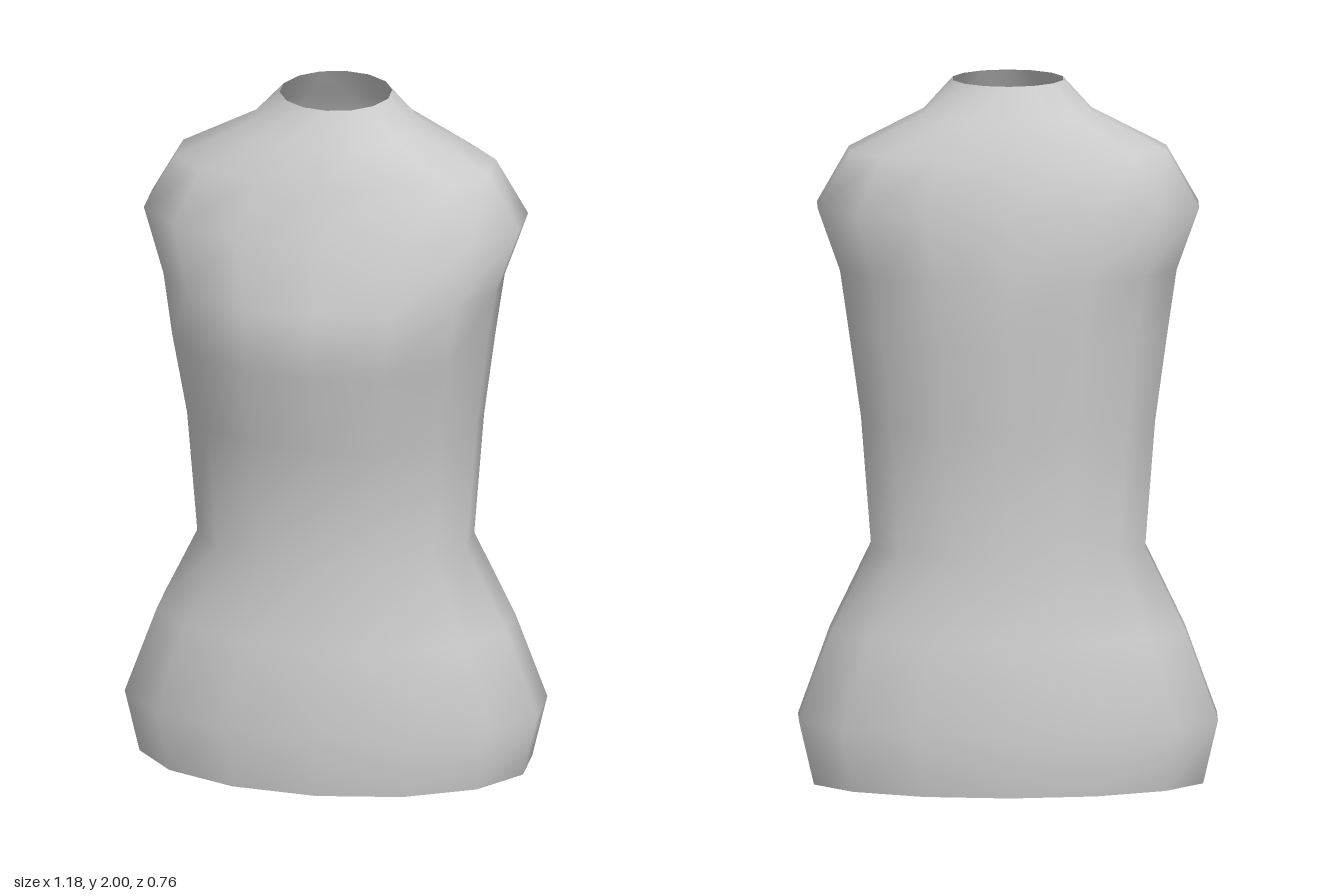
import * as THREE from 'three';

const SIDES = 14;

// Cross-sections from hips to neck: height, half width, front z, back z
const RINGS = [
  [0.00, 0.548, 0.326, -0.354],
  [0.18, 0.590, 0.348, -0.378],
  [0.43, 0.500, 0.310, -0.332],
  [0.67, 0.385, 0.266, -0.290],
  [1.03, 0.413, 0.289, -0.305],
  [1.28, 0.448, 0.378, -0.334],
  [1.46, 0.474, 0.368, -0.334],
  [1.64, 0.537, 0.300, -0.330],
  [1.80, 0.447, 0.250, -0.280],
  [1.91, 0.236, 0.192, -0.225],
  [2.00, 0.155, 0.142, -0.172],
];

// Elliptical ring with a vertex at front and back and an edge at each side
function ringPoints([y, halfWidth, front, back]) {
  const rx = halfWidth / Math.cos(Math.PI / SIDES);
  const rz = (front - back) / 2;
  const cz = (front + back) / 2;
  return Array.from({ length: SIDES }, (_, j) => {
    const a = (j / SIDES) * Math.PI * 2;
    return new THREE.Vector3(Math.sin(a) * rx, y, cz + Math.cos(a) * rz);
  });
}

function buildGeometry(points, index) {
  const geometry = new THREE.BufferGeometry().setFromPoints(points);
  geometry.setIndex(index);
  geometry.computeVertexNormals();
  return geometry;
}

export function createModel() {
  const group = new THREE.Group();
  group.name = 'torsoForm';
  const grey = new THREE.MeshStandardMaterial({ color: 0xcccccc, side: THREE.DoubleSide });
  grey.name = 'light grey';

  // Smooth body shell, open at the neck
  const index = [];
  for (let i = 0; i < RINGS.length - 1; i++) {
    for (let j = 0; j < SIDES; j++) {
      const k = (j + 1) % SIDES;
      const a = i * SIDES + j, b = i * SIDES + k;
      index.push(a, b, b + SIDES, a, b + SIDES, a + SIDES);
    }
  }
  const body = new THREE.Mesh(buildGeometry(RINGS.flatMap(ringPoints), index), grey);
  body.name = 'body';
  group.add(body);

  // Flat underside closing the hips
  const fan = [];
  for (let j = 1; j < SIDES - 1; j++) fan.push(0, j + 1, j);
  const base = new THREE.Mesh(buildGeometry(ringPoints(RINGS[0]), fan), grey);
  base.name = 'base';
  group.add(base);

  return group;
}
